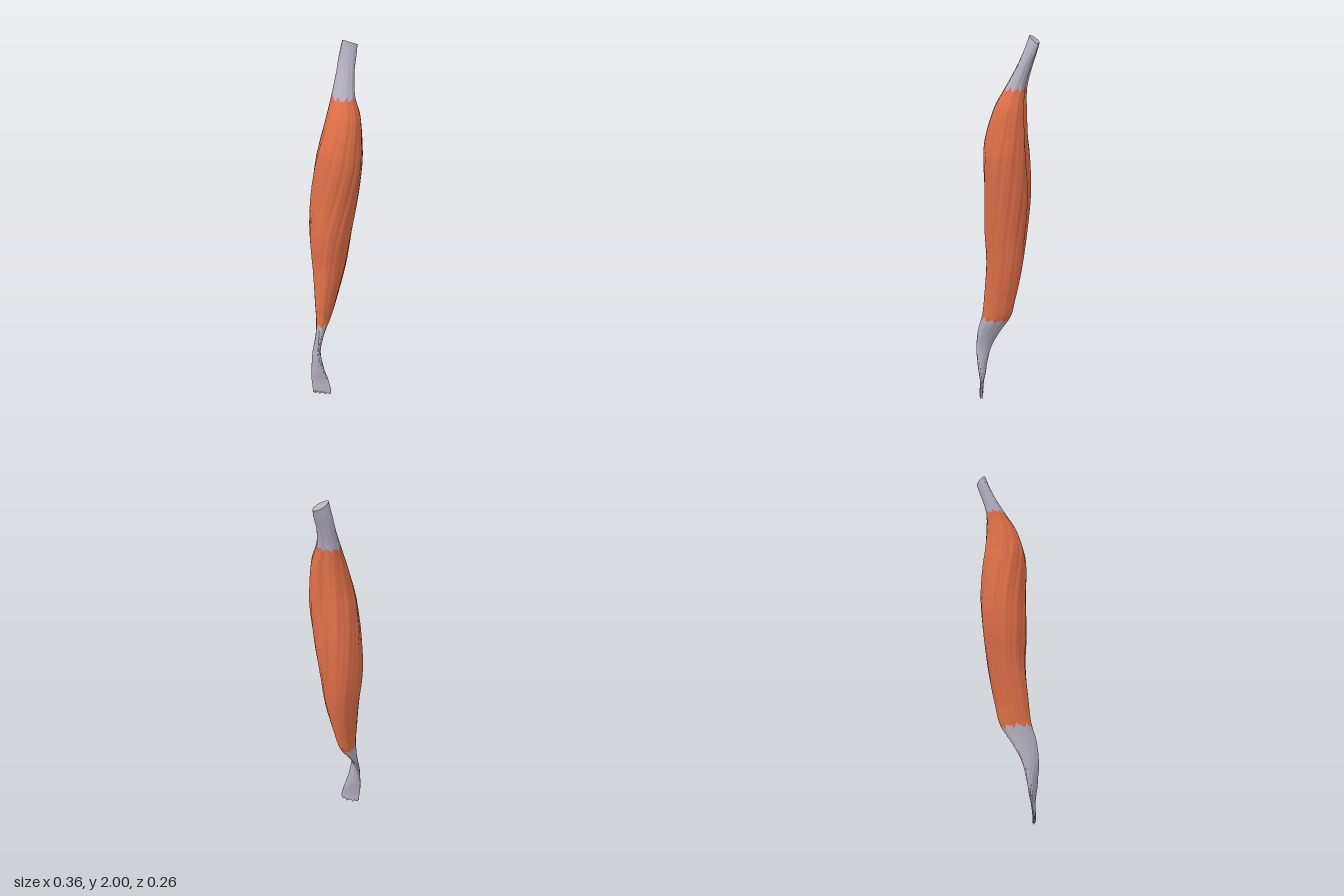
import * as THREE from 'three';

// cross-sections: y, xMin, xMax, zMin, zMax, skew (diagonal lean), groove depth
const SECTIONS = [
  [0.00, -0.177, -0.130, -0.022, 0.068, 0.95, 0],
  [0.05, -0.177, -0.130, -0.024, 0.072, 0.95, 0],
  [0.12, -0.178, -0.132, -0.032, 0.055, 0.80, 0],
  [0.20, -0.182, -0.138, -0.036, 0.040, 0.10, 0],
  [0.30, -0.185, -0.125, -0.045, 0.031, -0.70, 0],
  [0.40, -0.175, -0.072, -0.052, 0.030, -0.75, 0],
  [0.50, -0.153, -0.005, -0.060, 0.030, -0.45, 0],
  [0.60, -0.146, 0.026, -0.067, 0.036, -0.20, 0],
  [0.80, -0.131, 0.073, -0.096, 0.060, 0, 0.03],
  [1.00, -0.134, 0.100, -0.124, 0.085, 0, 0.08],
  [1.20, -0.122, 0.120, -0.127, 0.110, 0, 0.14],
  [1.40, -0.112, 0.125, -0.105, 0.130, 0, 0.20],
  [1.50, -0.098, 0.123, -0.085, 0.126, 0, 0.22],
  [1.65, -0.048, 0.115, -0.062, 0.105, 0, 0.20],
  [1.75, 0.002, 0.107, -0.056, 0.062, 0, 0.18],
  [1.85, 0.050, 0.130, -0.056, 0.030, 0.10, 0.15],
  [1.93, 0.080, 0.160, -0.055, 0.012, 0.35, 0.08],
  [2.01, 0.106, 0.185, -0.047, -0.008, 0.60, 0]
];
const SIDES = 96;

// smooth interpolation of one column of the table
function sample(y, k) {
  const n = SECTIONS.length;
  let i = 0;
  while (i < n - 2 && y > SECTIONS[i + 1][0]) i++;
  const slope = (j) => {
    const a = SECTIONS[Math.max(j - 1, 0)], b = SECTIONS[Math.min(j + 1, n - 1)];
    return (b[k] - a[k]) / (b[0] - a[0]);
  };
  const p = SECTIONS[i], q = SECTIONS[i + 1], h = q[0] - p[0];
  const s = THREE.MathUtils.clamp((y - p[0]) / h, 0, 1), s2 = s * s, s3 = s2 * s;
  return p[k] * (2 * s3 - 3 * s2 + 1) + q[k] * (3 * s2 - 2 * s3)
    + h * (slope(i) * (s3 - 2 * s2 + s) + slope(i + 1) * (s3 - s2));
}

// point on the skin at angle t and height y
function skin(t, y) {
  const [x0, x1, z0, z1, skew, groove] = [1, 2, 3, 4, 5, 6].map((k) => sample(y, k));
  // lengthwise fibres that wind slowly around the body
  const w = t + 0.7 * y + 0.08 * Math.sin(5 * y);
  const fibre = 0.014 * Math.sin(11 * w + Math.sin(4 * y)) + 0.009 * Math.sin(23 * w - 2 * y);
  // hollow along the left side
  const d = Math.atan2(Math.sin(t + 0.3), Math.cos(t + 0.3));
  const r = 1 - 0.012 + fibre - groove * Math.exp(-d * d / 0.07);
  const phi = Math.asin(skew);
  return [
    (x0 + x1) / 2 + (x1 - x0) / 2 * r * Math.cos(t),
    y,
    (z0 + z1) / 2 + (z1 - z0) / 2 * r * Math.sin(t + phi)
  ];
}

// ragged edges between the parts
const jag = (t, a) => a * (Math.sin(9 * t) + 0.6 * Math.sin(17 * t + 1) + 0.5 * Math.sin(29 * t));
const bottomEdge = (t) => 0.022 + 0.013 * Math.sin(t) + jag(t, 0.005);
const lowerSeam = (t) => 0.48 + jag(t, 0.008);
const upperSeam = (t) => 1.745 + jag(t, 0.008);
const topEdge = (t) => 1.983 - 0.017 * Math.cos(t);

// skin between two edges, optionally closed at either end
function loft(name, color, from, to, rows, capBottom, capTop) {
  const pos = [], index = [];
  for (let j = 0; j <= rows; j++) {
    for (let i = 0; i < SIDES; i++) {
      const t = i / SIDES * Math.PI * 2;
      pos.push(...skin(t, THREE.MathUtils.lerp(from(t), to(t), j / rows)));
    }
  }
  for (let j = 0; j < rows; j++) {
    for (let i = 0; i < SIDES; i++) {
      const n = (i + 1) % SIDES;
      const a = j * SIDES + i, b = a + SIDES, c = j * SIDES + n, d = c + SIDES;
      index.push(a, b, c, c, b, d);
    }
  }
  const cap = (row, up) => {
    const start = pos.length / 3, mid = [0, 0, 0];
    for (let i = 0; i < SIDES; i++) {
      for (let k = 0; k < 3; k++) {
        const v = pos[(row * SIDES + i) * 3 + k];
        pos.push(v);
        mid[k] += v / SIDES;
      }
    }
    pos.push(...mid);
    for (let i = 0; i < SIDES; i++) {
      const a = start + i, b = start + (i + 1) % SIDES;
      index.push(start + SIDES, up ? b : a, up ? a : b);
    }
  };
  if (capBottom) cap(0, false);
  if (capTop) cap(rows, true);
  const geometry = new THREE.BufferGeometry();
  geometry.setAttribute('position', new THREE.Float32BufferAttribute(pos, 3));
  geometry.setIndex(index);
  geometry.computeVertexNormals();
  const mesh = new THREE.Mesh(geometry, new THREE.MeshStandardMaterial({ color }));
  mesh.name = name;
  return mesh;
}

export function createModel() {
  const group = new THREE.Group();
  group.name = 'muscle';
  group.add(
    loft('lowerTendon', 0xb4afc0, bottomEdge, lowerSeam, 28, true, false),
    loft('muscleBelly', 0xe07048, lowerSeam, upperSeam, 70, false, false),
    loft('upperTendon', 0xb4afc0, upperSeam, topEdge, 18, false, true)
  );
  return group;
}
